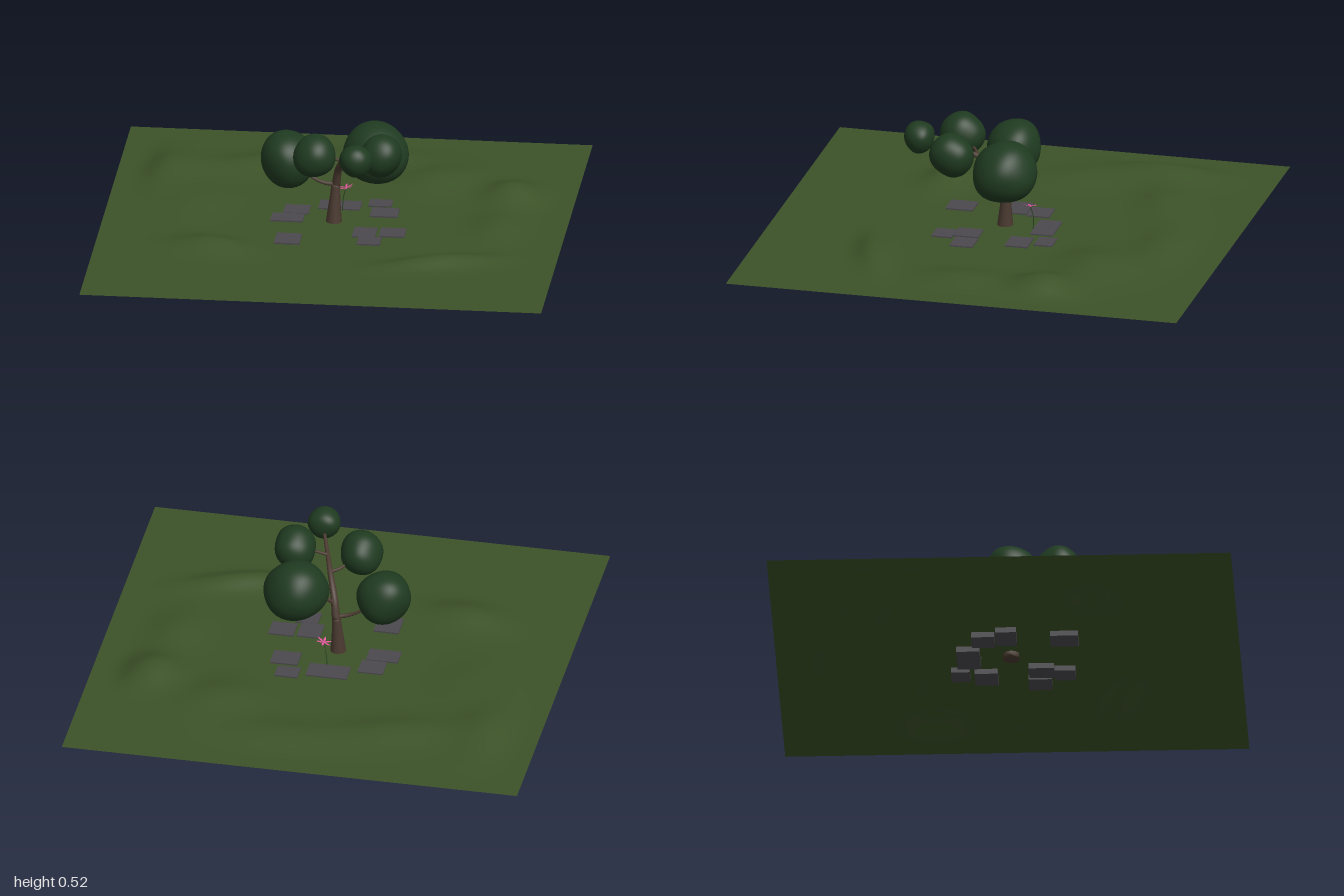
import * as THREE from 'three';
import { mergeVertices } from 'three/addons/utils/BufferGeometryUtils.js';

const mat = (color, side = THREE.FrontSide) => new THREE.MeshStandardMaterial({ color, side });
const V = (x, y, z) => new THREE.Vector3(x, y, z);
const bark = mat(0x4a3a30), leaf = mat(0x1f3a20), stone = mat(0x4b484e);
const grass = mat(0x3c5228, THREE.DoubleSide), pink = mat(0xe0559a, THREE.DoubleSide), stemGreen = mat(0x2c4a24, THREE.DoubleSide);

function add(parent, name, geometry, material) {
  const mesh = new THREE.Mesh(geometry, material);
  mesh.name = name;
  parent.add(mesh);
  return mesh;
}

// Round limb along a curve, tapering from r0 to r1, with closed ends
function limb(points, r0, r1, steps = 14, sides = 10) {
  const curve = new THREE.CatmullRomCurve3(points.map(p => V(...p)));
  const frames = curve.computeFrenetFrames(steps, false);
  const pos = [], index = [];
  for (let i = 0; i <= steps; i++) {
    const t = i / steps, c = curve.getPointAt(t);
    const r = r1 + (r0 - r1) * Math.pow(1 - t, 1.3);
    for (let j = 0; j < sides; j++) {
      const a = j / sides * Math.PI * 2;
      const p = c.clone().addScaledVector(frames.normals[i], r * Math.cos(a)).addScaledVector(frames.binormals[i], r * Math.sin(a));
      pos.push(p.x, p.y, p.z);
      if (i < steps) {
        const k = i * sides + j, n = i * sides + (j + 1) % sides;
        index.push(k, n, k + sides, n, n + sides, k + sides);
      }
    }
  }
  for (let j = 1; j < sides - 1; j++) {
    const e = steps * sides;
    index.push(0, j + 1, j, e, e + j, e + j + 1);
  }
  const g = new THREE.BufferGeometry();
  g.setAttribute('position', new THREE.Float32BufferAttribute(pos, 3));
  g.setIndex(index);
  g.computeVertexNormals();
  return g;
}

// Hills: x, z, radius x, radius z, height, turn
const hills = [
  [0.73, -0.34, 0.13, 0.14, 0.065, 0],
  [0.42, -0.5, 0.2, 0.16, 0.045, 0.4],
  [0.1, -0.72, 0.28, 0.12, 0.03, 0],
  [-0.4, -0.6, 0.26, 0.12, 0.035, 0.25],
  [-0.77, -0.5, 0.13, 0.24, 0.042, 0],
  [-0.62, -0.15, 0.14, 0.2, 0.025, 0],
  [-0.5, 0.38, 0.17, 0.1, 0.045, -0.2],
  [0.5, 0.47, 0.24, 0.07, 0.042, 0.3],
  [0.7, 0.02, 0.11, 0.18, 0.03, 0]
];

function groundHeight(x, z) {
  let h = 0;
  for (const [hx, hz, rx, rz, top, turn] of hills) {
    const c = Math.cos(turn), s = Math.sin(turn), dx = x - hx, dz = z - hz;
    h += top * Math.exp(-(((dx * c - dz * s) / rx) ** 2 + ((dx * s + dz * c) / rz) ** 2));
  }
  const edge = THREE.MathUtils.smoothstep(0.95 - Math.abs(x), 0, 0.15)
    * THREE.MathUtils.smoothstep(z + 0.95, 0, 0.15) * THREE.MathUtils.smoothstep(0.7 - z, 0, 0.18);
  return 0.03 + h * edge * THREE.MathUtils.smoothstep(Math.hypot(x, z), 0.27, 0.5);
}

function ground() {
  const g = new THREE.PlaneGeometry(2, 2, 80, 80).rotateX(-Math.PI / 2);
  const p = g.attributes.position;
  for (let i = 0; i < p.count; i++) p.setY(i, groundHeight(p.getX(i), p.getZ(i)));
  g.computeVertexNormals();
  return g;
}

// Slightly lumpy ball of leaves
function foliage(rx, ry, rz, seed) {
  let g = new THREE.IcosahedronGeometry(1, 9);
  g.deleteAttribute('uv');
  g.deleteAttribute('normal');
  g = mergeVertices(g);
  const p = g.attributes.position;
  for (let i = 0; i < p.count; i++) {
    const x = p.getX(i), y = p.getY(i), z = p.getZ(i);
    const k = 1 + 0.035 * Math.sin(3 * x + seed) * Math.cos(2.6 * y + seed * 2) + 0.035 * Math.sin(3.4 * z + 2 * y + seed * 3);
    p.setXYZ(i, x * rx * k, y * ry * k, z * rz * k);
  }
  g.computeVertexNormals();
  return g;
}

function createFlower() {
  const flower = new THREE.Group();
  flower.name = 'flower';
  add(flower, 'flowerStem', limb([[0.015, 0.02, -0.115], [0.018, 0.08, -0.118], [0.03, 0.138, -0.108]], 0.0022, 0.0018, 10, 6), stemGreen);
  const head = new THREE.Group();
  head.name = 'flowerHead';
  head.position.set(0.032, 0.139, -0.108);
  head.rotation.z = 0.25;
  flower.add(head);
  // Pointed petals, cupped upwards
  const outline = new THREE.Shape();
  outline.moveTo(0, 0);
  outline.quadraticCurveTo(0.011, 0.018, 0, 0.038);
  outline.quadraticCurveTo(-0.011, 0.018, 0, 0);
  const petal = new THREE.ShapeGeometry(outline, 8).rotateX(Math.PI / 2 - 0.15);
  for (let i = 0; i < 6; i++) add(head, 'petal', petal, pink).rotation.y = i * Math.PI / 3;
  add(head, 'flowerCentre', new THREE.SphereGeometry(0.005, 12, 8), pink);
  return flower;
}

export function createModel() {
  const model = new THREE.Group();
  model.name = 'treeGarden';
  add(model, 'ground', ground(), grass);

  // Paving stones: x, z, width, depth
  const stones = [
    [0, -0.17, 0.18, 0.1], [0.17, -0.21, 0.1, 0.08], [0.2, -0.1, 0.12, 0.1],
    [-0.18, -0.1, 0.11, 0.1], [-0.21, 0, 0.14, 0.09], [-0.18, 0.25, 0.11, 0.12],
    [0.14, 0.14, 0.1, 0.11], [0.26, 0.13, 0.11, 0.1], [0.17, 0.24, 0.1, 0.09]
  ];
  const paving = new THREE.Group();
  paving.name = 'pavingStones';
  model.add(paving);
  stones.forEach(([x, z, w, d], i) =>
    add(paving, 'pavingStone', new THREE.BoxGeometry(w, 0.03, d), stone).position.set(x, 0.0215 + (i % 3) * 0.0005 - 0.0005 * 2, z));

  // Leaning trunk and its side branches
  const tree = new THREE.Group();
  tree.name = 'tree';
  model.add(tree);
  add(tree, 'trunk', limb([[-0.008, 0.005, 0.015], [-0.005, 0.1, 0.012], [0, 0.2, 0.008]], 0.038, 0.019), bark);
  add(tree, 'upperTrunk', limb([[0, 0.19, 0.005], [0.015, 0.28, 0.035], [0.05, 0.355, 0.12], [0.09, 0.4, 0.24], [0.125, 0.44, 0.34]], 0.019, 0.007, 24), bark);
  add(tree, 'rightBranch', limb([[0, 0.2, 0.01], [-0.055, 0.21, 0.02], [-0.15, 0.26, 0.02]], 0.01, 0.005), bark);
  add(tree, 'leftBranch', limb([[0.012, 0.26, 0.025], [0.06, 0.3, 0], [0.13, 0.33, -0.02]], 0.01, 0.005), bark);
  add(tree, 'frontRightBranch', limb([[0.05, 0.355, 0.12], [0.01, 0.365, 0.14], [-0.05, 0.4, 0.2]], 0.008, 0.004), bark);
  add(tree, 'frontLeftBranch', limb([[0.08, 0.39, 0.2], [0.13, 0.4, 0.2], [0.2, 0.41, 0.2]], 0.008, 0.004), bark);

  // Foliage clusters: centre, then radii
  const clusters = [
    [-0.205, 0.315, 0.025, 0.115, 0.123, 0.12], [0.17, 0.335, -0.03, 0.139, 0.132, 0.142],
    [-0.068, 0.407, 0.218, 0.093, 0.095, 0.097], [0.218, 0.413, 0.195, 0.09, 0.096, 0.094],
    [0.125, 0.45, 0.362, 0.07, 0.07, 0.066]
  ];
  clusters.forEach(([x, y, z, ...radii], i) =>
    add(tree, 'foliage', foliage(...radii, i * 1.7 + 0.6), leaf).position.set(x, y, z));

  model.add(createFlower());
  return model;
}
